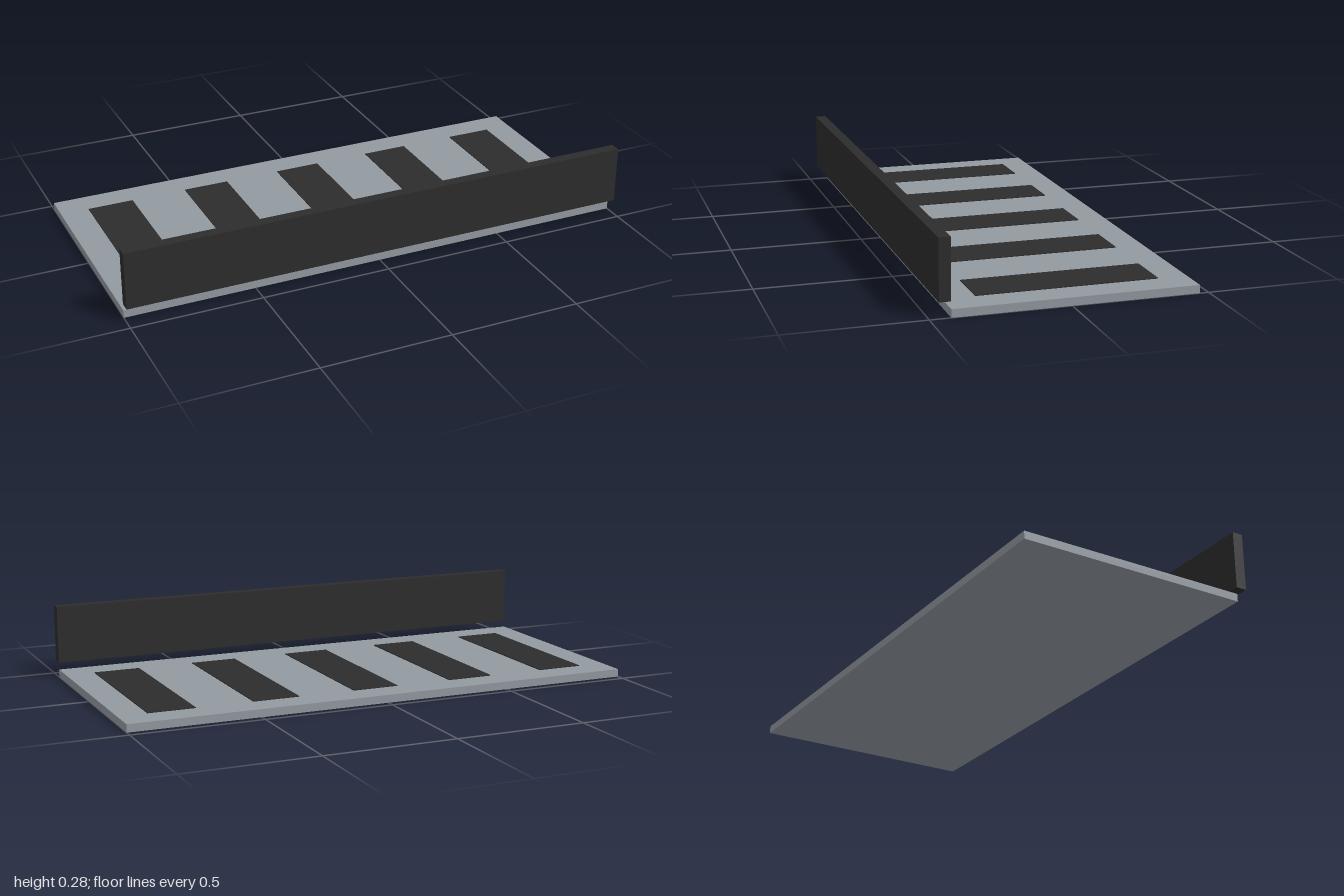
import * as THREE from 'three';

export function createModel() {
  const model = new THREE.Group();
  model.name = 'slottedPanel';

  const grey = new THREE.MeshStandardMaterial({ color: 0x9299a0 });
  grey.name = 'steel grey';
  const black = new THREE.MeshStandardMaterial({ color: 0x2c2c2c });
  black.name = 'matte black';

  // Box given by its lower and upper limits on each axis
  function addBox(name, material, [x0, x1], [y0, y1], [z0, z1]) {
    const mesh = new THREE.Mesh(new THREE.BoxGeometry(x1 - x0, y1 - y0, z1 - z0), material);
    mesh.position.set((x0 + x1) / 2, (y0 + y1) / 2, (z0 + z1) / 2);
    mesh.name = name;
    model.add(mesh);
  }

  // Flat base plate
  addBox('basePlate', grey, [-1, 1], [0, 0.03], [-0.467, 0.425]);

  // Upright bar floating along the front edge
  addBox('frontBar', black, [-1, 1], [0.057, 0.279], [0.425, 0.467]);

  // Five thin dark strips laid on the plate
  for (let i = -2; i <= 2; i++) {
    const x = i * 0.4;
    addBox(`strip${i + 3}`, black, [x - 0.09, x + 0.09], [0.03, 0.033], [-0.357, 0.31]);
  }

  return model;
}
